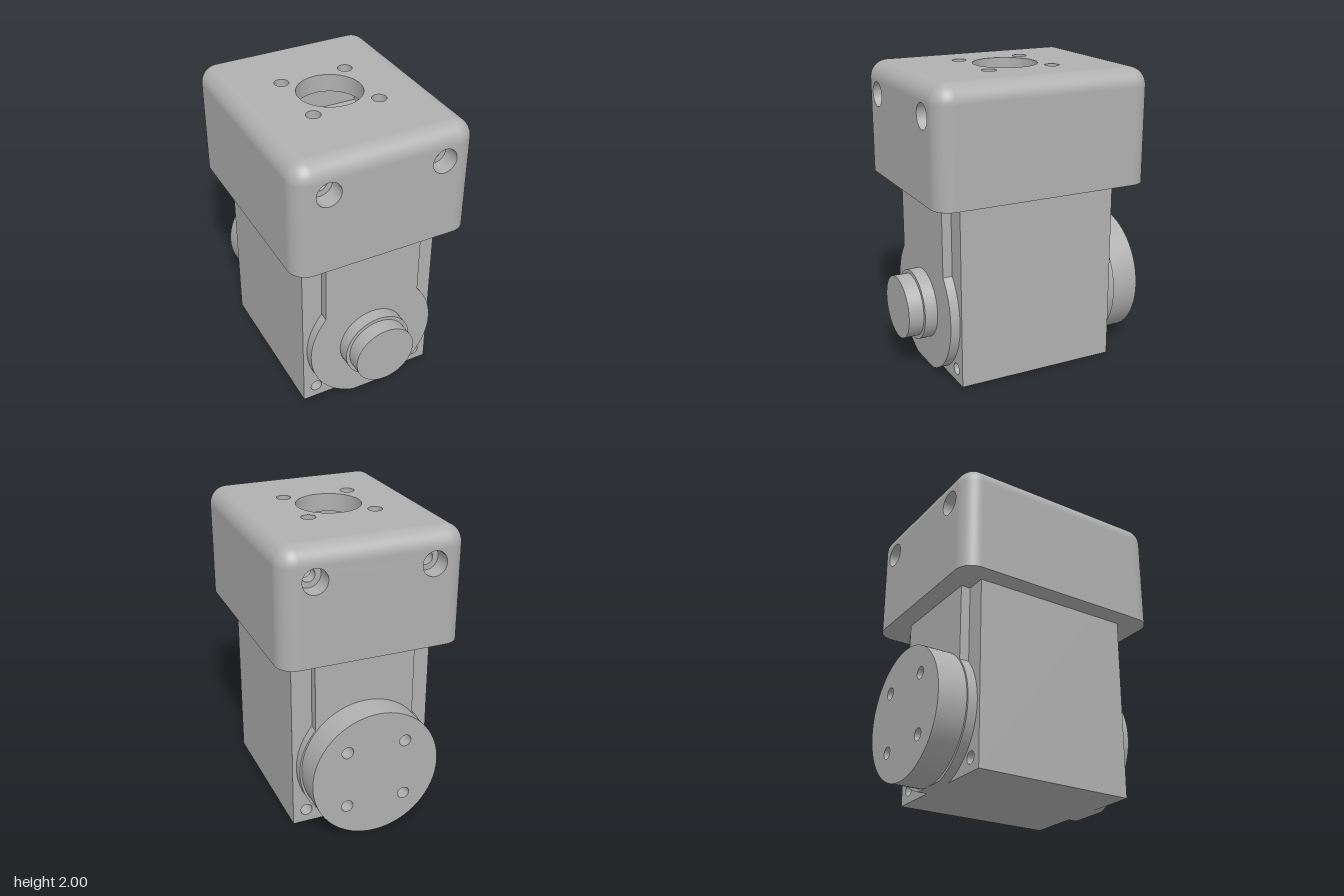
import * as THREE from 'three';
import { toCreasedNormals } from 'three/addons/utils/BufferGeometryUtils.js';

export function createModel() {
  const grey = new THREE.MeshStandardMaterial({ color: 0xb0b0b0 });
  grey.name = 'machinedGrey';

  const unit = new THREE.Group();
  unit.name = 'gearUnit';

  const add = (name, geometry, parent = unit) => {
    const mesh = new THREE.Mesh(geometry, grey);
    mesh.name = name;
    parent.add(mesh);
    return mesh;
  };

  const rect = (x0, x1, y0, y1) => new THREE.Shape([
    new THREE.Vector2(x0, y0), new THREE.Vector2(x1, y0),
    new THREE.Vector2(x1, y1), new THREE.Vector2(x0, y1),
  ]);
  const drill = (shape, x, y, r) => {
    shape.holes.push(new THREE.Path().absarc(x, y, r, 0, Math.PI * 2, true));
    return shape;
  };
  // Slab from z0 to z1, smooth on curves and sharp on edges
  const slab = (shape, z0, z1) => {
    const g = new THREE.ExtrudeGeometry(shape, { depth: z1 - z0, bevelEnabled: false, curveSegments: 32 });
    g.translate(0, 0, z0);
    return toCreasedNormals(g, 0.6);
  };

  // Main housing with two bolt holes running through it
  const W = 0.477, D = 0.55, bodyTop = 1.55;
  const bodyShape = rect(-W, W, 0, bodyTop);
  for (const s of [-1, 1]) drill(bodyShape, s * 0.383, 0.09, 0.04);
  add('housing', slab(bodyShape, -D, D));

  // Raised keyhole-shaped pad: narrow neck above a round boss cut flat at the base
  const axisY = 0.43, padR = 0.45, neck = 0.34, padFace = 0.614;
  const neckAngle = Math.acos(neck / padR);
  const baseAngle = Math.asin(axisY / padR);
  const pad = new THREE.Shape();
  pad.moveTo(neck, bodyTop);
  pad.lineTo(-neck, bodyTop);
  pad.absarc(0, axisY, padR, Math.PI - neckAngle, Math.PI + baseAngle, false);
  pad.absarc(0, axisY, padR, -baseAngle, neckAngle, false);
  pad.closePath();
  add('frontPad', slab(pad, D - 0.01, padFace));
  add('backPad', slab(pad, -padFace, -D + 0.01));

  // Output shaft and collar on the front
  const rod = (name, r, z0, z1) => {
    const g = new THREE.CylinderGeometry(r, r, z1 - z0, 64);
    g.rotateX(Math.PI / 2);
    add(name, g).position.set(0, axisY, (z0 + z1) / 2);
  };
  rod('shaftCollar', 0.236, 0.6, 0.7);
  rod('shaft', 0.211, 0.69, 0.802);

  // Round flange with four holes on the back
  const flange = new THREE.Shape().absarc(0, 0.437, 0.437, 0, Math.PI * 2, false);
  for (const sx of [-1, 1]) for (const sy of [-1, 1]) drill(flange, sx * 0.2, 0.437 + sy * 0.2, 0.04);
  add('backFlange', slab(flange, -0.807, -padFace));

  // Cap: flat panels joined by rounded edges
  const cap = new THREE.Group();
  cap.name = 'cap';
  unit.add(cap);
  const r = 0.12, a = 0.486, b = 0.626, y0 = 1.24, y1 = 1.88;

  // Top plate with centre bore and four small holes
  const topShape = drill(rect(-a, a, -b, b), 0, 0, 0.212);
  for (const sx of [-1, 1]) for (const sz of [-1, 1]) drill(topShape, sx * 0.225, sz * 0.225, 0.047);
  const top = slab(topShape, y1, y1 + r);
  top.rotateX(-Math.PI / 2);
  add('capTop', top, cap);

  // Front and back walls with counterbored screw holes, and plain side walls
  const outer = rect(-a, a, y0, y1), inner = rect(-a, a, y0, y1);
  for (const s of [-1, 1]) {
    drill(outer, s * 0.385, 1.79, 0.082);
    drill(inner, s * 0.385, 1.79, 0.045);
  }
  for (const [side, turn] of [['Front', 0], ['Back', Math.PI]]) {
    add('cap' + side + 'Wall', slab(outer, b, b + r), cap).rotation.y = turn;
    add('cap' + side + 'InnerWall', slab(inner, D, b), cap).rotation.y = turn;
  }
  for (const s of [-1, 1]) {
    const wall = add(s > 0 ? 'capLeftWall' : 'capRightWall',
      new THREE.BoxGeometry(a + r - W, y1 - y0, 2 * b), cap);
    wall.position.set(s * (a + r + W) / 2, (y0 + y1) / 2, 0);
  }

  // Rounded corners and top edges, one of each per quarter turn
  const q = Math.PI / 2;
  for (let k = 0; k < 4; k++) {
    const [u, v] = k % 2 ? [b, a] : [a, b];
    const corner = new THREE.CylinderGeometry(r, r, y1 - y0, 12, 1, false, 0, q);
    corner.translate(u, (y0 + y1) / 2, v);
    const ball = new THREE.SphereGeometry(r, 12, 12, q, q, 0, q);
    ball.translate(u, y1, v);
    const edge = new THREE.CylinderGeometry(r, r, 2 * u, 12, 1, true, 0, q);
    edge.rotateZ(q);
    edge.translate(0, y1, v);
    add('capCorner', corner, cap).rotation.y = k * q;
    add('capCornerTip', ball, cap).rotation.y = k * q;
    add('capTopEdge', edge, cap).rotation.y = k * q;
  }

  // The whole unit stands turned on its base
  unit.rotation.y = THREE.MathUtils.degToRad(14);
  unit.position.z = 0.025;
  const model = new THREE.Group();
  model.name = 'model';
  model.add(unit);
  return model;
}
